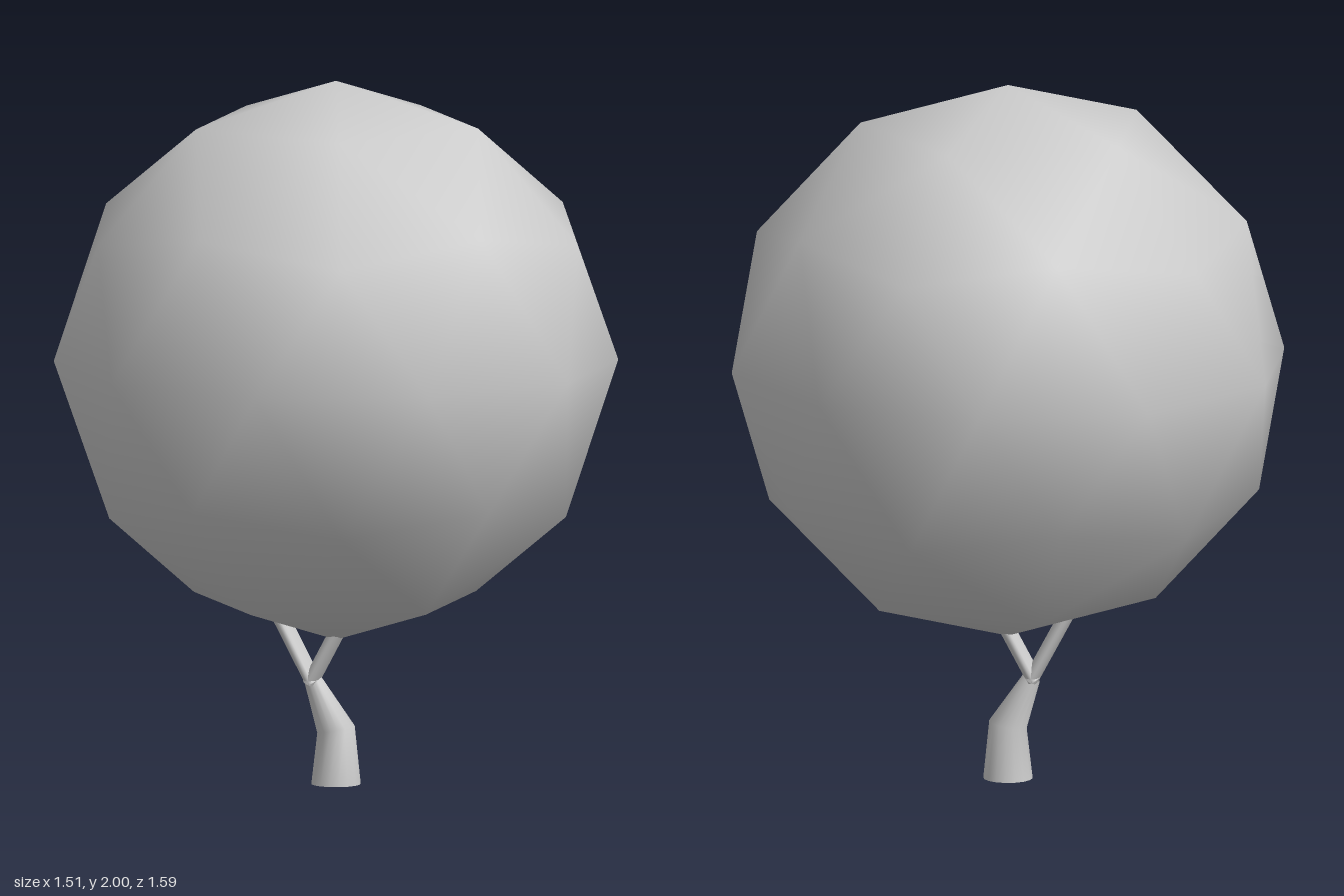
import * as THREE from 'three';
import { mergeVertices } from 'three/addons/utils/BufferGeometryUtils.js';

const material = new THREE.MeshStandardMaterial({ color: 0xcccccc });
const limbMaterial = new THREE.MeshStandardMaterial({ color: 0xcccccc, side: THREE.DoubleSide });

// Open tube through tilted elliptical rings, bottom to top
function limb(name, rings) {
  const n = rings.length - 1;
  let geometry = new THREE.CylinderGeometry(1, 1, n, 16, n, true);
  const p = geometry.attributes.position;
  for (let i = 0; i < p.count; i++) {
    const { x, y, tilt, rx, rz } = rings[Math.round(p.getY(i) + n / 2)];
    const across = p.getX(i) * rx;
    p.setXYZ(i, x + across * Math.cos(tilt), y + across * Math.sin(tilt), p.getZ(i) * rz);
  }
  geometry.deleteAttribute('uv');
  geometry.deleteAttribute('normal');
  geometry = mergeVertices(geometry, 1e-5);
  geometry.computeVertexNormals();
  const mesh = new THREE.Mesh(geometry, limbMaterial);
  mesh.name = name;
  return mesh;
}

export function createModel() {
  const tree = new THREE.Group();
  tree.name = 'tree';

  // Crown: once-divided icosahedron turned to stand on a vertex
  const ball = new THREE.IcosahedronGeometry(0.795, 1);
  ball.rotateZ(-Math.atan(2 / (1 + Math.sqrt(5))));
  const crown = new THREE.Mesh(ball, material);
  crown.name = 'crown';
  crown.position.y = 1.205;
  tree.add(crown);

  // Trunk: tapered, bending towards the right
  tree.add(limb('trunk', [
    { x: 0, y: 0, tilt: 0, rx: 0.07, rz: 0.07 },
    { x: 0, y: 0.155, tilt: 0.19, rx: 0.054, rz: 0.053 },
    { x: -0.07, y: 0.295, tilt: 0.64, rx: 0.025, rz: 0.025 },
  ]));

  // Forked branches: flattened tubes rising into the crown
  for (const [name, side, foot] of [['leftBranch', 1, -0.075], ['rightBranch', -1, -0.065]]) {
    const ring = { tilt: -side * 0.5, rx: 0.021, rz: 0.042 };
    tree.add(limb(name, [
      { ...ring, x: foot, y: 0.285 },
      { ...ring, x: foot + side * 0.115, y: 0.5 },
    ]));
  }
  return tree;
}
